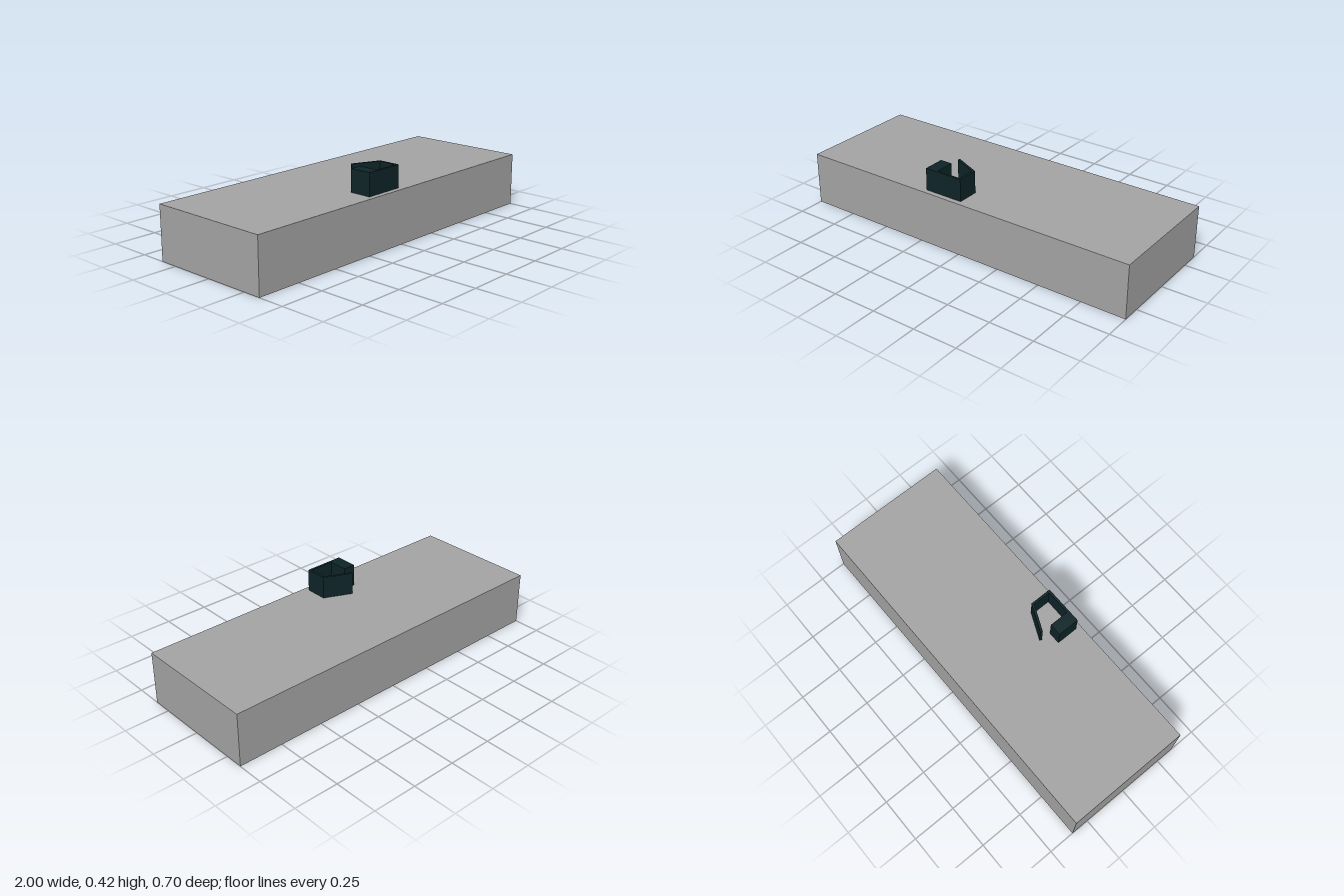
import * as THREE from 'three';

export function createModel() {
  const group = new THREE.Group();
  const grey = new THREE.MeshStandardMaterial({ color: 0xa3a3a3 });
  grey.name = 'slab grey';
  const dark = new THREE.MeshStandardMaterial({ color: 0x0e2427 });
  dark.name = 'dark teal';

  // Box between two corners
  function box(name, material, [x0, y0, z0], [x1, y1, z1], parent) {
    const mesh = new THREE.Mesh(new THREE.BoxGeometry(x1 - x0, y1 - y0, z1 - z0), material);
    mesh.position.set((x0 + x1) / 2, (y0 + y1) / 2, (z0 + z1) / 2);
    mesh.name = name;
    parent.add(mesh);
    return mesh;
  }

  // Ground slab
  const floor = 0.298, top = 0.423, t = 0.013;
  box('base', grey, [-1, 0, -0.352], [1, floor, 0.352], group);

  // Small enclosure standing on the slab, open at the top and back
  const enclosure = new THREE.Group();
  enclosure.name = 'enclosure';
  group.add(enclosure);
  box('solidBlock', dark, [-0.224, floor, 0.2], [-0.155, top, 0.323], enclosure);
  box('frontWall', dark, [-0.155, floor, 0.323 - t], [0, top, 0.323], enclosure);
  box('sideWall', dark, [-t, floor, 0.2], [0, top, 0.323 - t], enclosure);

  // Angled wall, hinged at the back corner of the side wall
  const plan = new THREE.Shape([[0, 0.2], [-0.151, 0.132], [-0.156, 0.144], [-t, 0.209], [0, 0.209]]
    .map(([x, z]) => new THREE.Vector2(x, -z)));
  const angled = new THREE.Mesh(
    new THREE.ExtrudeGeometry(plan, { depth: top - floor, bevelEnabled: false }), dark);
  angled.rotation.x = -Math.PI / 2;
  angled.position.y = floor;
  angled.name = 'angledWall';
  enclosure.add(angled);

  return group;
}
